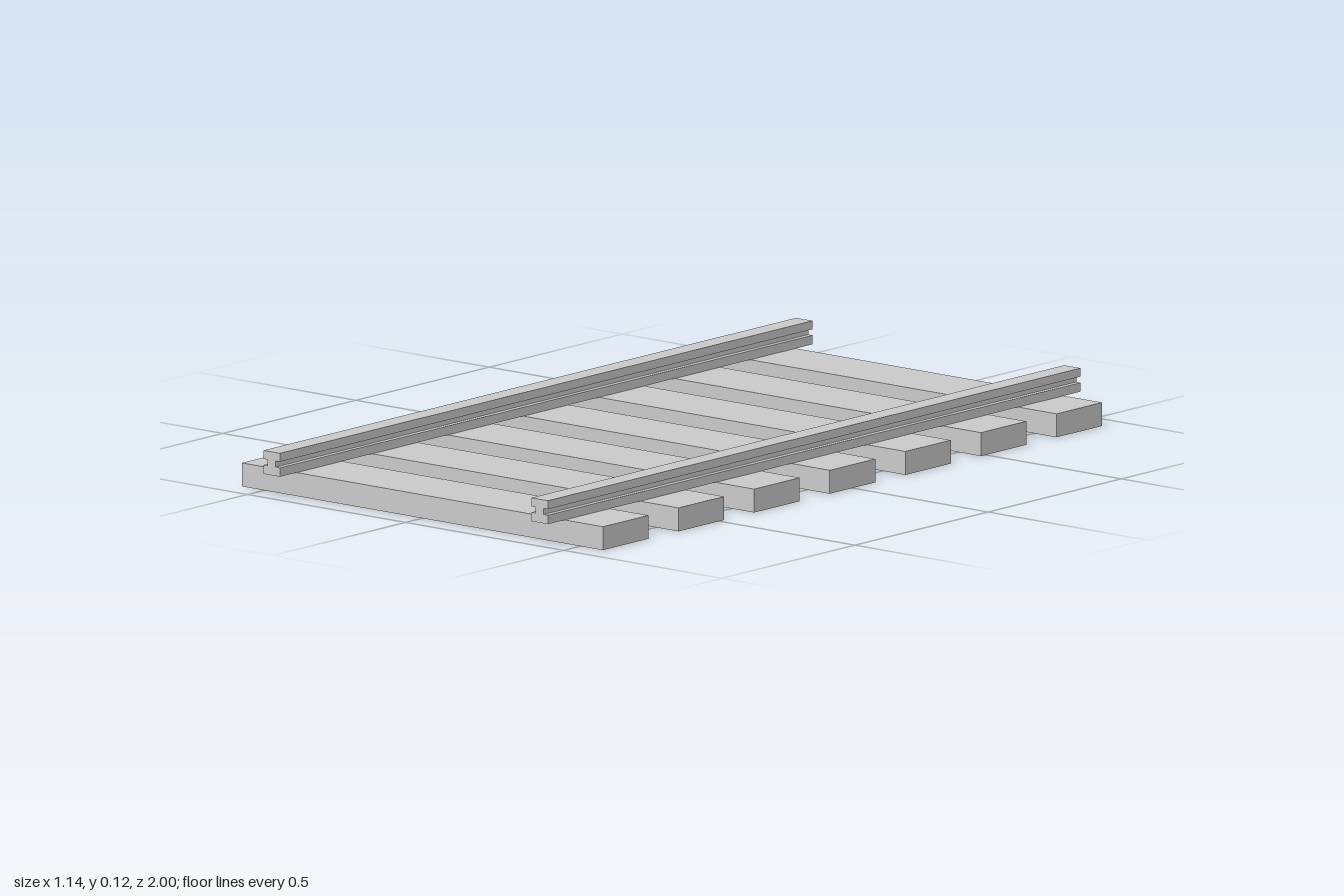
import * as THREE from 'three';

const SLEEPER = { width: 1.142, height: 0.058, depth: 0.171, count: 7, spacing: 0.2838 };
const RAIL = { x: 0.424, length: 2, half: 0.026, web: 0.0125, foot: 0.022, neck: 0.037, height: 0.058 };

// I-shaped rail section, mirrored about its centre line and extruded along z
function railGeometry() {
  const { half, web, foot, neck, height, length } = RAIL;
  const side = [[half, 0], [half, foot], [web, foot], [web, neck], [half, neck], [half, height]];
  const outline = [...side, ...side.map(([x, y]) => [-x, y]).reverse()];
  const shape = new THREE.Shape(outline.map(([x, y]) => new THREE.Vector2(x, y)));
  return new THREE.ExtrudeGeometry(shape, { depth: length, bevelEnabled: false }).translate(0, 0, -length / 2);
}

export function createModel() {
  const track = new THREE.Group();
  track.name = 'railwayTrack';
  const material = new THREE.MeshStandardMaterial({ color: 0xcccccc, flatShading: true });

  // Evenly spaced cross sleepers
  const sleeperGeometry = new THREE.BoxGeometry(SLEEPER.width, SLEEPER.height, SLEEPER.depth);
  for (let i = 0; i < SLEEPER.count; i++) {
    const sleeper = new THREE.Mesh(sleeperGeometry, material);
    sleeper.name = `sleeper${i + 1}`;
    sleeper.position.set(0, SLEEPER.height / 2, (i - (SLEEPER.count - 1) / 2) * SLEEPER.spacing);
    track.add(sleeper);
  }

  // Two rails resting on the sleepers
  const geometry = railGeometry();
  for (const [name, sign] of [['leftRail', 1], ['rightRail', -1]]) {
    const rail = new THREE.Mesh(geometry, material);
    rail.name = name;
    rail.position.set(sign * RAIL.x, SLEEPER.height, 0);
    track.add(rail);
  }
  return track;
}
